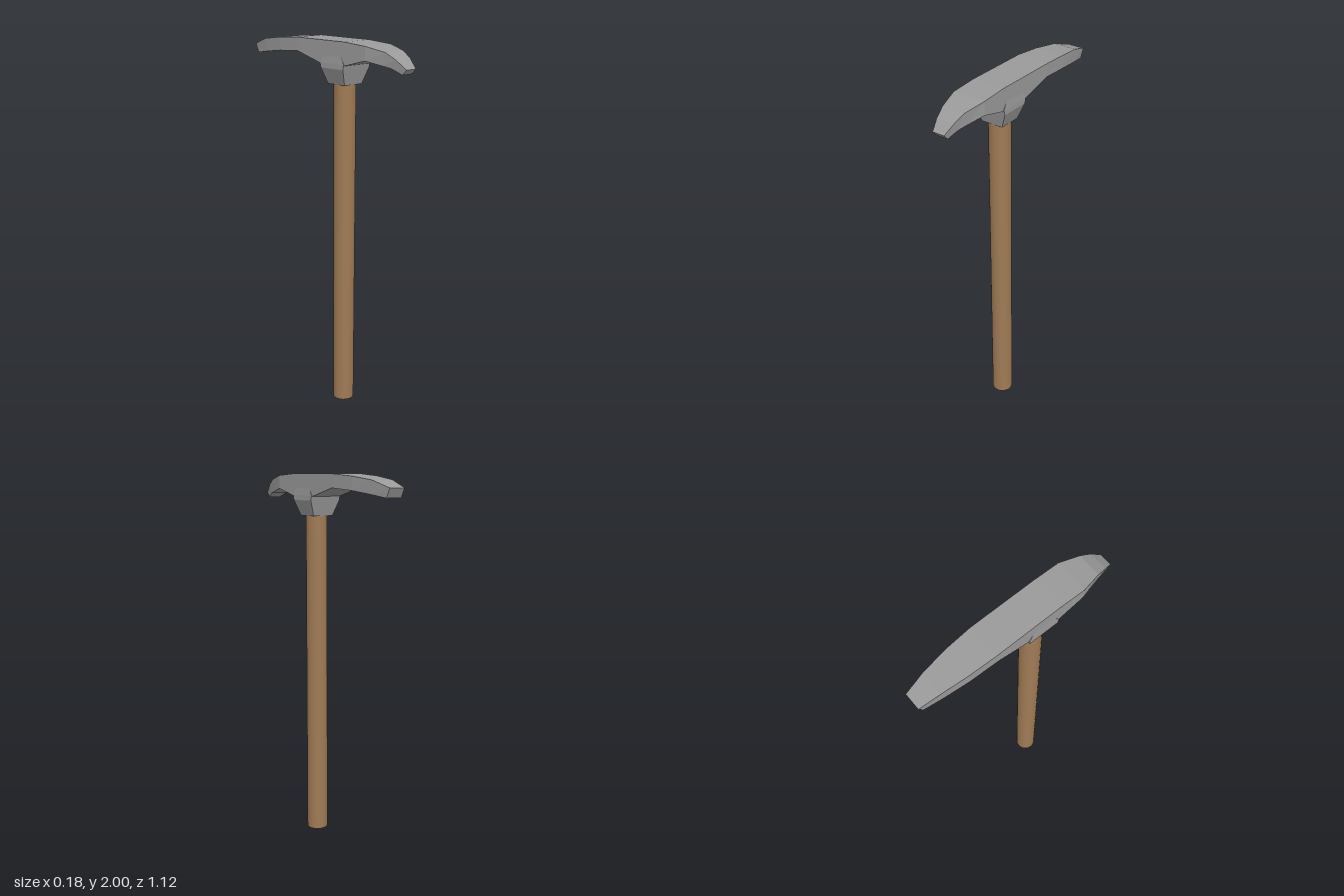
import * as THREE from 'three';

// Joins four-cornered rings into a closed, flat-faced solid.
// The first ring runs counter-clockwise as seen from outside its own end.
function loft(rings) {
  const pos = [];
  const quad = (a, b, c, d) => pos.push(...a, ...b, ...c, ...a, ...c, ...d);
  quad(...rings[0]);
  for (let r = 0; r < rings.length - 1; r++) {
    for (let i = 0; i < 4; i++) {
      const j = (i + 1) % 4;
      quad(rings[r][i], rings[r + 1][i], rings[r + 1][j], rings[r][j]);
    }
  }
  quad(...[...rings[rings.length - 1]].reverse());
  const geometry = new THREE.BufferGeometry();
  geometry.setAttribute('position', new THREE.Float32BufferAttribute(pos, 3));
  geometry.computeVertexNormals();
  return geometry;
}

export function createModel() {
  const group = new THREE.Group();
  group.name = 'pickHammer';
  const wood = new THREE.MeshStandardMaterial({ name: 'wood', color: 0x9f7b55 });
  const steel = new THREE.MeshStandardMaterial({ name: 'steel', color: 0x9a9a9a });

  const add = (name, geometry, material) => {
    const mesh = new THREE.Mesh(geometry, material);
    mesh.name = name;
    group.add(mesh);
    return mesh;
  };

  // Straight round handle
  const handleZ = 0.11;
  add('handle', new THREE.CylinderGeometry(0.057, 0.057, 1.84, 32), wood)
    .position.set(0, 0.92, handleZ);

  // Curved head, front tip to back blade: top z, top y, bottom z, bottom y, half width
  const head = [
    [0.56, 1.893, 0.536, 1.867, 0.033],
    [0.508, 1.936, 0.48, 1.893, 0.05],
    [0.45, 1.968, 0.43, 1.903, 0.063],
    [0.34, 1.99, 0.34, 1.92, 0.089],
    [0.196, 2, 0.196, 1.883, 0.089],
    [0.022, 2, 0.022, 1.883, 0.089],
    [-0.164, 2, -0.153, 1.93, 0.089],
    [-0.307, 1.99, -0.307, 1.92, 0.081],
    [-0.448, 1.972, -0.434, 1.904, 0.064],
    [-0.56, 1.936, -0.537, 1.888, 0.045],
  ];
  add('head', loft(head.map(([zt, yt, zb, yb, w]) => [
    [-w, yb, zb], [w, yb, zb], [w, yt, zt], [-w, yt, zt],
  ])), steel);

  // Tapered collar around the handle, bottom to top: y, half width, half depth
  const collar = [
    [1.78, 0.06, 0.061],
    [1.862, 0.092, 0.081],
    [1.888, 0.092, 0.087],
    [1.93, 0.0885, 0.06],
  ];
  add('collar', loft(collar.map(([y, w, d]) => [
    [-w, y, handleZ - d], [w, y, handleZ - d], [w, y, handleZ + d], [-w, y, handleZ + d],
  ])), steel);

  return group;
}
